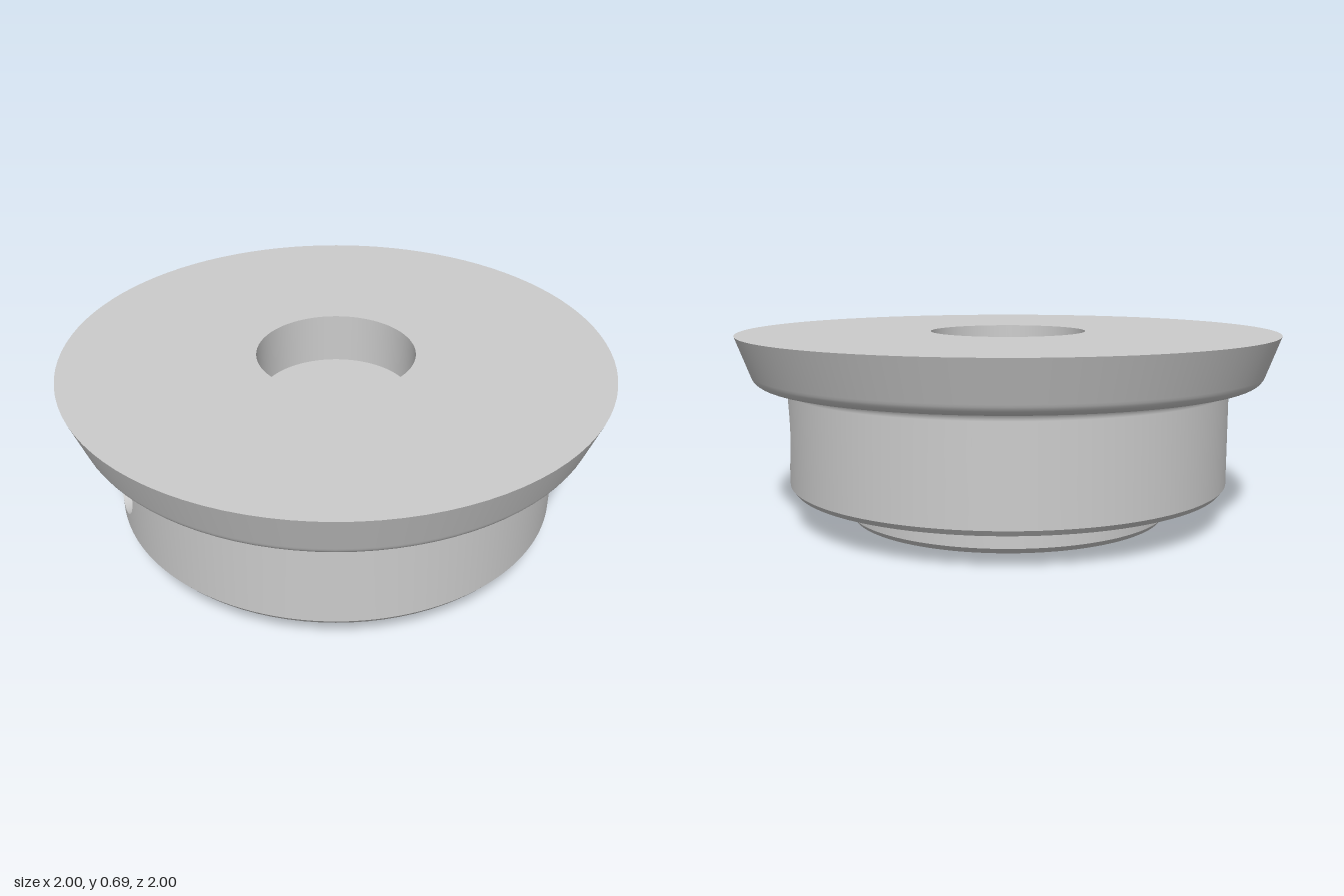
import * as THREE from 'three';
import { mergeGeometries } from 'three/addons/utils/BufferGeometryUtils.js';
import { ParametricGeometry } from 'three/addons/geometries/ParametricGeometry.js';

const SEG = 96;
const material = new THREE.MeshStandardMaterial({ color: 0xcccccc });

// wall, fillet under the flange, and side pocket sizes
const WALL_R = 0.82, FILLET = 0.03, FILLET_Y = 0.48, WALL_Y0 = 0.14, WALL_Y1 = 0.5;
const POCKET_R = 0.155, POCKET_Y = 0.34, POCKET_FLOOR = 0.755, PATCH_W = 0.2;
const PATCH_ANGLE = Math.asin(PATCH_W / WALL_R);

// radius of the wall at height y
function wallRadius(y) {
  const h = Math.max(0, y - FILLET_Y);
  return WALL_R + FILLET - Math.sqrt(Math.max(0, FILLET * FILLET - h * h));
}

// turns each smooth profile separately so the edges between them stay sharp
function turned(name, profiles, start = 0, length = Math.PI * 2) {
  const parts = profiles.map(p =>
    new THREE.LatheGeometry(p.map(([x, y]) => new THREE.Vector2(x, y)), SEG, start, length));
  const mesh = new THREE.Mesh(mergeGeometries(parts), material);
  mesh.name = name;
  return mesh;
}

// splits a polyline into sharp-edged segments
const sharp = pts => pts.slice(1).map((p, i) => [pts[i], p]);

function arc(cx, cy, r, a0, a1, n) {
  return Array.from({ length: n + 1 }, (_, i) => {
    const a = a0 + (a1 - a0) * i / n;
    return [cx + r * Math.cos(a), cy + r * Math.sin(a)];
  });
}

function blindHole(name, x, z, r, depth) {
  const hole = turned(name, sharp([[0, depth], [r, depth], [r, 0]]));
  hole.position.set(x, 0, z);
  return hole;
}

// point on the +x side of the wall, w measured sideways
function onWall(w, y, target) {
  const a = Math.asin(w / WALL_R), r = wallRadius(y);
  return target.set(r * Math.cos(a), y, -r * Math.sin(a));
}

function sidePocket() {
  const group = new THREE.Group();
  group.name = 'sidePocket';
  const lo = WALL_Y0 - POCKET_Y, hi = WALL_Y1 - POCKET_Y;
  const corners = [[PATCH_W, lo], [PATCH_W, hi], [-PATCH_W, hi], [-PATCH_W, lo]];
  const rim = u => {
    const t = -Math.PI / 4 + u * Math.PI * 2;
    return [POCKET_R * Math.cos(t), POCKET_R * Math.sin(t)];
  };
  // wall patch from its rectangular border to the round rim
  const patch = new ParametricGeometry((u, v, target) => {
    const k = Math.min(3, Math.floor(u * 4)), f = u * 4 - k;
    const a = corners[k], b = corners[(k + 1) % 4], c = rim(u);
    const mix = i => (a[i] + (b[i] - a[i]) * f) * (1 - v) + c[i] * v;
    onWall(mix(0), POCKET_Y + mix(1), target);
  }, 64, 6);
  // bore from the curved rim to the flat floor
  const bore = new ParametricGeometry((u, v, target) => {
    const [w, h] = rim(u);
    onWall(w, POCKET_Y + h, target);
    target.lerp(new THREE.Vector3(POCKET_FLOOR, POCKET_Y + h, -w), v);
  }, 64, 1);
  const floor = new THREE.CircleGeometry(POCKET_R, 64).rotateY(Math.PI / 2)
    .translate(POCKET_FLOOR, POCKET_Y, 0);
  for (const [name, geometry] of [['wallPatch', patch], ['pocketBore', bore], ['pocketFloor', floor]]) {
    const mesh = new THREE.Mesh(geometry, material);
    mesh.name = name;
    group.add(mesh);
  }
  return group;
}

export function createModel() {
  const model = new THREE.Group();
  model.name = 'flangedHub';

  // underside recess, foot and lower chamfer
  model.add(turned('bottomRecess', sharp([[0, 0.115], [0.31, 0.115], [0.31, 0.02], [0.325, 0]])));
  model.add(turned('foot', sharp([[0.59, 0], [0.607, 0.02], [0.607, 0.12], [0.805, 0.12], [WALL_R, WALL_Y0]])));

  // underside face pierced by four screw holes and one locating hole
  const holes = [[-0.48, 0, 0.055]];
  for (let i = 0; i < 4; i++) {
    const a = Math.PI / 4 + i * Math.PI / 2;
    holes.push([0.483 * Math.cos(a), 0.483 * Math.sin(a), 0.045]);
  }
  const face = new THREE.Shape().absarc(0, 0, 0.59, 0, Math.PI * 2);
  for (const [x, z, r] of [[0, 0, 0.325], ...holes]) {
    face.holes.push(new THREE.Path().absarc(x, z, r, 0, Math.PI * 2, true));
  }
  const bottom = new THREE.Mesh(new THREE.ShapeGeometry(face, SEG / 2).rotateX(Math.PI / 2), material);
  bottom.name = 'bottomFace';
  model.add(bottom);
  holes.forEach(([x, z, r], i) => model.add(blindHole(i ? 'screwHole' : 'locatingHole', x, z, r, 0.25)));

  // wall: two turned halves with a pocketed patch between them on each side
  const wall = [WALL_Y0, FILLET_Y, 0.487, 0.494, WALL_Y1].map(y => [wallRadius(y), y]);
  for (const turn of [0, Math.PI]) {
    model.add(turned('wallHalf', [wall], Math.PI / 2 + PATCH_ANGLE + turn, Math.PI - 2 * PATCH_ANGLE));
    const pocket = sidePocket();
    pocket.rotation.y = turn;
    model.add(pocket);
  }

  // flange: rest of the fillet, rounded lip and flared side
  const a0 = Math.PI - Math.asin((WALL_Y1 - FILLET_Y) / FILLET);
  model.add(turned('flange', [[
    ...arc(WALL_R + FILLET, FILLET_Y, FILLET, a0, Math.PI / 2, 4),
    ...arc(0.895, 0.565, 0.055, -Math.PI / 2, -0.28, 8),
    [1, 0.69],
  ]]));

  // top face and central recess
  model.add(turned('topRecess', sharp([[1, 0.69], [0.29, 0.69], [0.29, 0.5], [0, 0.5]])));
  return model;
}
